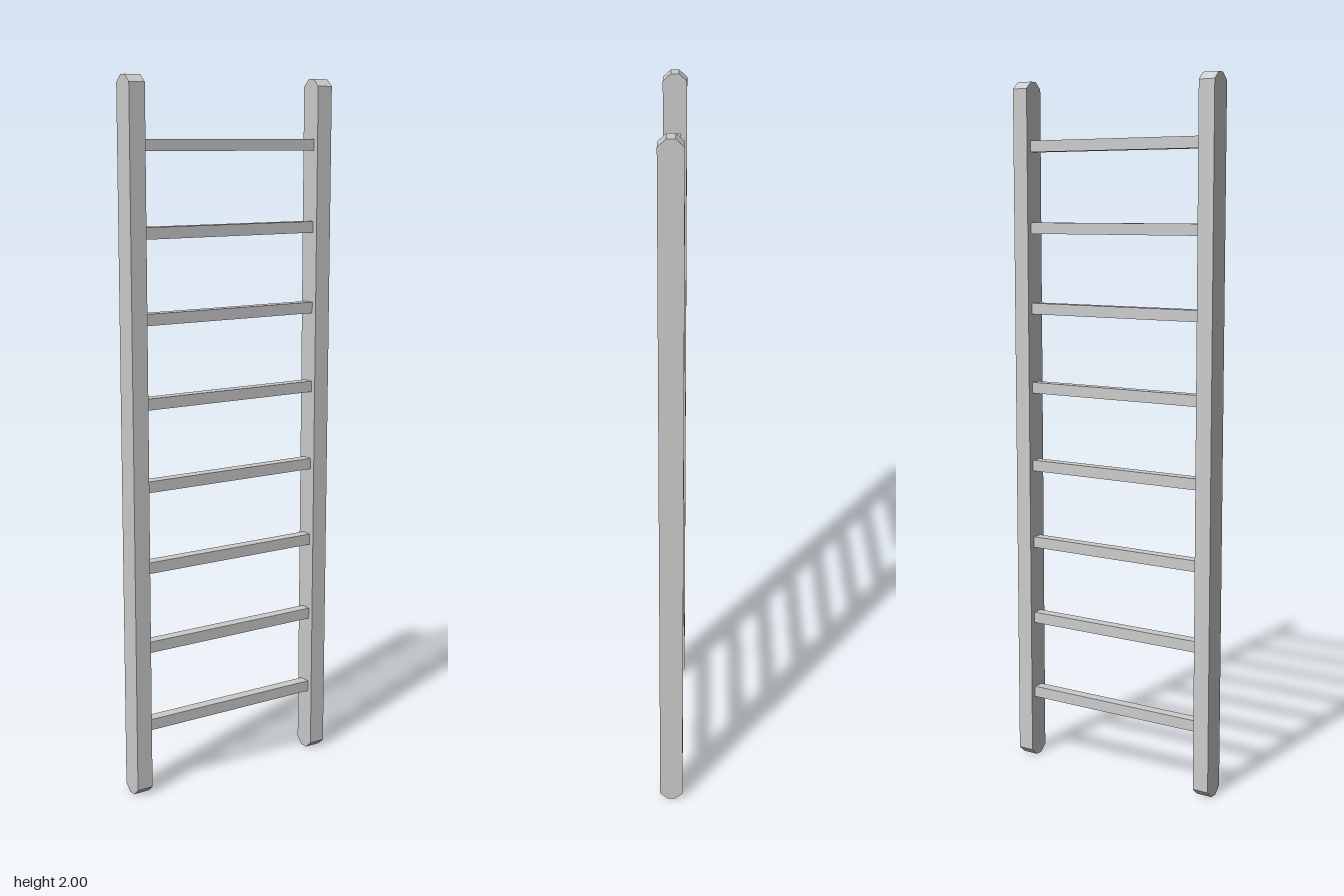
import * as THREE from 'three';

export function createModel() {
  const model = new THREE.Group();
  model.name = 'ladder';
  const material = new THREE.MeshStandardMaterial({ color: 0xcccccc, flatShading: true });

  const railWidth = 0.048, railX = 0.305;
  const halfDepth = 0.033, flat = 0.011, bevel = 0.02, height = 2;

  // Side profile of a rail, chamfered at both ends
  const profile = new THREE.Shape([
    [-flat, 0], [flat, 0], [halfDepth, bevel], [halfDepth, height - bevel],
    [flat, height], [-flat, height], [-halfDepth, height - bevel], [-halfDepth, bevel],
  ].map(([z, y]) => new THREE.Vector2(z, y)));
  const railGeometry = new THREE.ExtrudeGeometry(profile, { depth: railWidth, bevelEnabled: false });
  railGeometry.translate(0, 0, -railWidth / 2).rotateY(Math.PI / 2);

  // Two upright rails
  for (const side of [-1, 1]) {
    const rail = new THREE.Mesh(railGeometry, material);
    rail.name = side > 0 ? 'leftRail' : 'rightRail';
    rail.position.x = side * railX;
    model.add(rail);
  }

  // Evenly spaced square rungs between the rails
  const rungGeometry = new THREE.BoxGeometry(2 * railX - railWidth, 0.032, 0.034);
  for (let i = 0; i < 8; i++) {
    const rung = new THREE.Mesh(rungGeometry, material);
    rung.name = `rung${i + 1}`;
    rung.position.y = 0.2 + i * 0.2313;
    model.add(rung);
  }
  return model;
}
